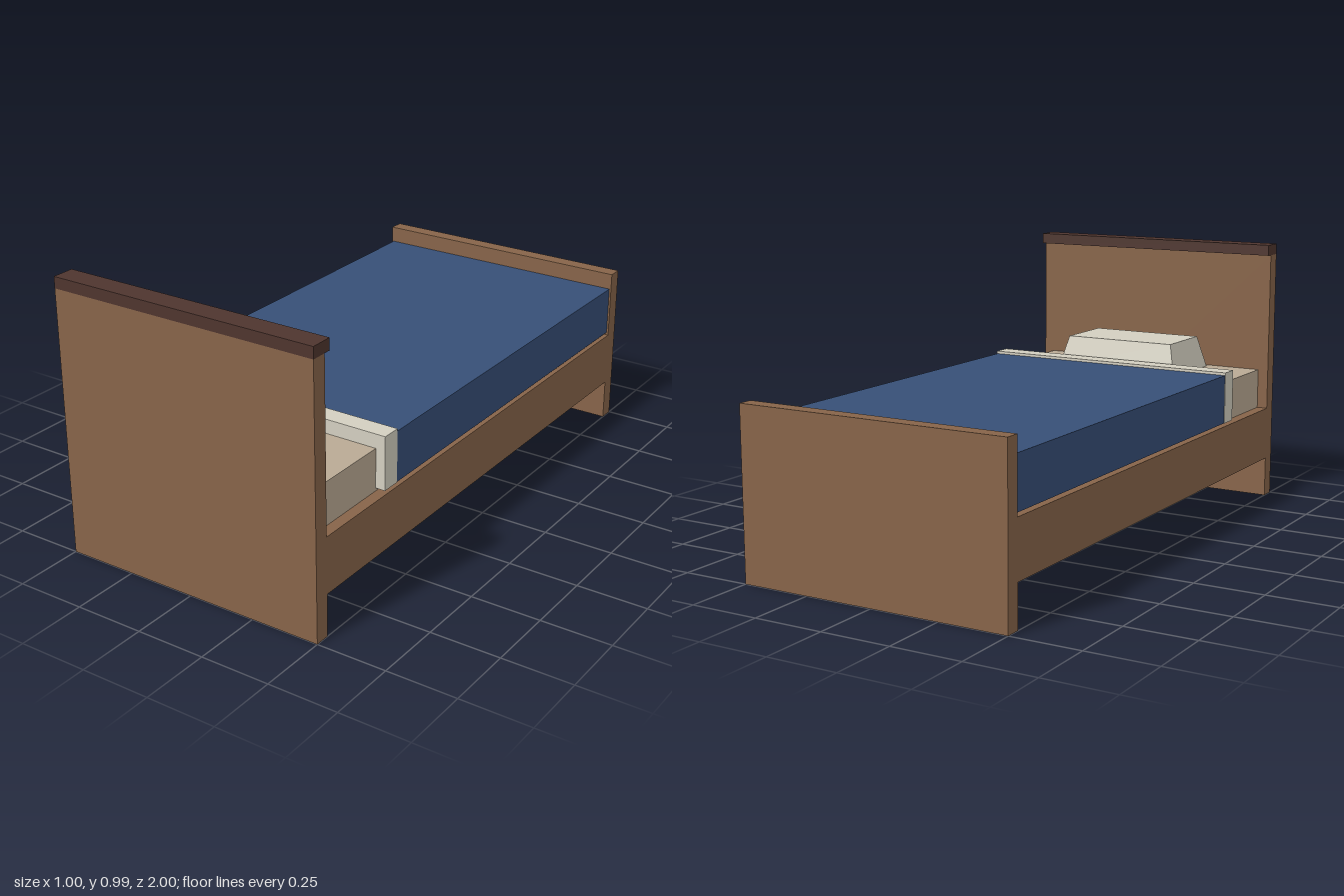
import * as THREE from 'three';

const paint = (name, color) => {
  const m = new THREE.MeshStandardMaterial({ color });
  m.name = name;
  return m;
};

export function createModel() {
  const wood = paint('wood', 0x876449);
  const darkWood = paint('dark wood', 0x4e352e);
  const mattressCloth = paint('mattress cloth', 0xbaaa94);
  const linen = paint('linen', 0xd3cfc0);
  const blanketBlue = paint('blanket blue', 0x374f77);

  const bed = new THREE.Group();
  bed.name = 'bed';

  // Box given by its extents on each axis
  const block = (name, material, [x0, x1], [y0, y1], [z0, z1]) => {
    const mesh = new THREE.Mesh(new THREE.BoxGeometry(x1 - x0, y1 - y0, z1 - z0), material);
    mesh.position.set((x0 + x1) / 2, (y0 + y1) / 2, (z0 + z1) / 2);
    mesh.name = name;
    bed.add(mesh);
    return mesh;
  };

  // Frame
  block('headboard', wood, [-0.5, 0.5], [0, 0.95], [0.945, 1]);
  block('headboardCap', darkWood, [-0.5, 0.5], [0.95, 0.99], [0.92, 1]);
  block('footboard', wood, [-0.5, 0.5], [0, 0.6], [-1, -0.945]);
  block('leftRail', wood, [0.45, 0.5], [0.15, 0.35], [-0.945, 0.945]);
  block('rightRail', wood, [-0.5, -0.45], [0.15, 0.35], [-0.945, 0.945]);

  // Bedding
  block('mattress', mattressCloth, [-0.46, 0.46], [0.33, 0.5], [-0.945, 0.945]);
  block('blanket', blanketBlue, [-0.493, 0.493], [0.36, 0.54], [-0.945, 0.55]);
  block('sheetFold', linen, [-0.495, 0.495], [0.36, 0.55], [0.55, 0.62]);

  // Pillow: a box whose top is drawn in evenly on all sides
  const pillow = block('pillow', linen, [-0.25, 0.25], [0.5, 0.62], [0.62, 0.92]);
  const p = pillow.geometry.attributes.position;
  for (let i = 0; i < p.count; i++) {
    if (p.getY(i) < 0) continue;
    p.setX(i, p.getX(i) - Math.sign(p.getX(i)) * 0.03);
    p.setZ(i, p.getZ(i) - Math.sign(p.getZ(i)) * 0.03);
  }
  pillow.geometry.computeVertexNormals();

  return bed;
}
